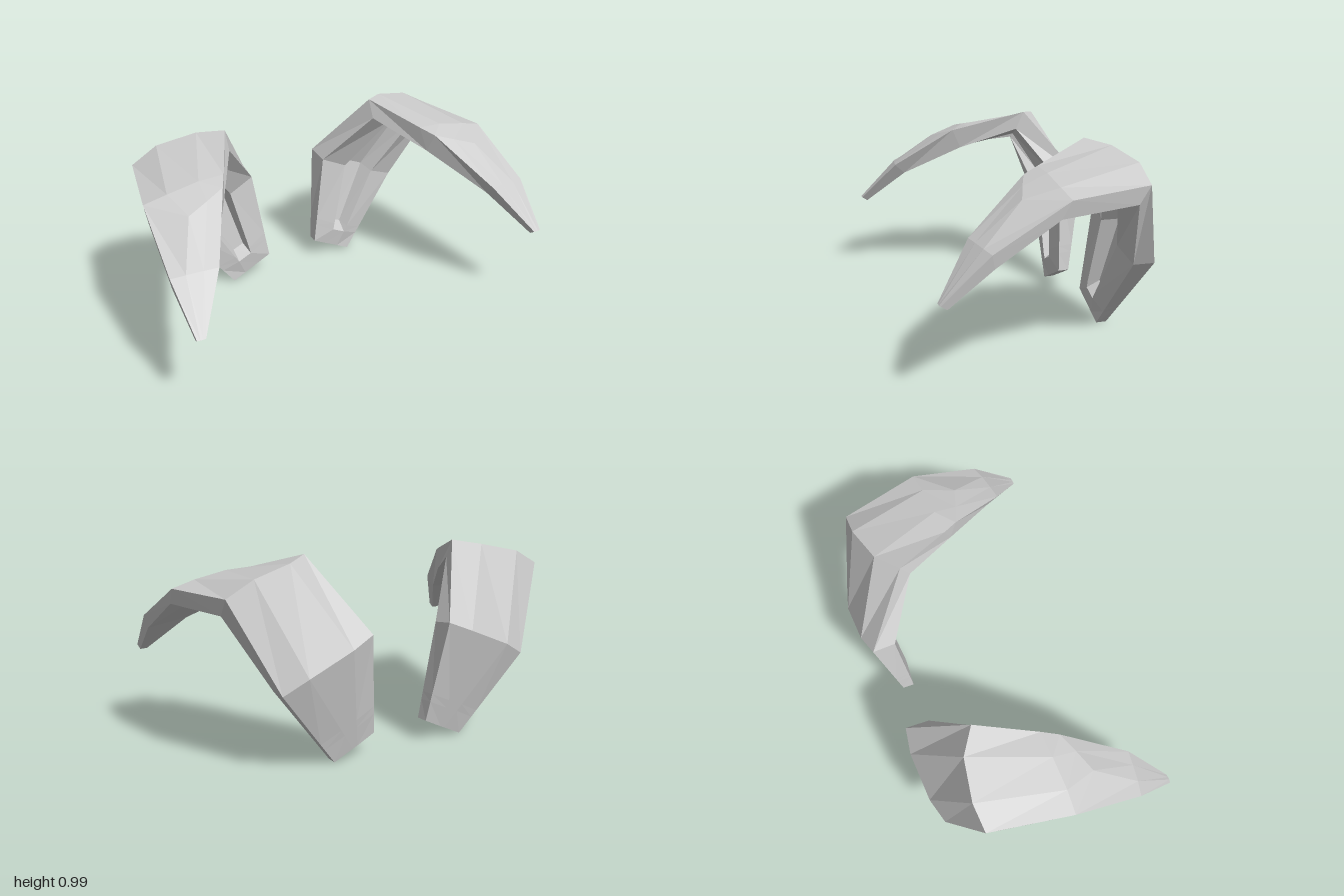
import * as THREE from 'three';

// Cross-sections from front tip, over the crest, down to the rear foot.
// skin: outer surface, inboard to outboard; rim: inboard and outboard lower edge.
// Optional channel on the underside: span = its two edges across the rim,
// slot = how deep it cuts towards the skin, lip = how far its edges stand proud.
const bottom = {
  skin: [[0.155, 0.11, -0.46], [0.25, 0.062, -0.46], [0.275, 0.05, -0.459], [0.375, 0, -0.455]],
  rim: [[0.15, 0.11, -0.4], [0.375, 0, -0.4]],
};
const back = {
  skin: [[0.22, 0.63, -0.55], [0.34, 0.58, -0.578], [0.57, 0.48, -0.578], [0.69, 0.41, -0.548]],
  rim: [[0.225, 0.61, -0.43], [0.685, 0.41, -0.44]],
  span: [0.31, 0.69], slot: 0.5, lip: 0.13,
};
const crest = {
  skin: [[0.43, 0.985, -0.28], [0.55, 0.965, -0.37], [0.75, 0.92, -0.415], [0.885, 0.845, -0.41]],
  rim: [[0.43, 0.89, -0.235], [0.885, 0.76, -0.355]],
  span: [0.3, 0.7], slot: 0.5, lip: 0.1,
};
const browRim = [[0.595, 0.77, 0.05], [0.97, 0.75, 0.045]];
const shoulder = {
  skin: [[0.57, 0.895, 0.01], [0.70, 0.89, 0.01], [0.86, 0.86, 0.01], [0.975, 0.83, 0]],
  rim: browRim, span: [0.31, 0.69], slot: 0.5, lip: 0.13,
};
const brow = {
  skin: [[0.612, 0.87, 0.09], [0.71, 0.842, 0.13], [0.82, 0.81, 0.17], [0.975, 0.83, 0]],
  rim: browRim,
};
const beak = {
  skin: [[0.78, 0.65, 0.4], [0.85, 0.648, 0.39], [0.93, 0.643, 0.377], [1, 0.635, 0.36]],
  rim: [[0.783, 0.6, 0.345], [0.988, 0.57, 0.345]],
};
const tip = {
  skin: [[0.935, 0.43, 0.578], [0.948, 0.43, 0.578], [0.962, 0.43, 0.578], [0.977, 0.43, 0.575]],
  rim: [[0.935, 0.41, 0.548], [0.972, 0.41, 0.545]],
};

const mix = (a, b, t) => a.map((v, i) => v + (b[i] - v) * t);
const blend = (a, b, t, channel) => ({
  skin: a.skin.map((p, i) => mix(p, b.skin[i], t)),
  rim: a.rim.map((p, i) => mix(p, b.rim[i], t)),
  ...channel,
});

// Closed ten-point loop: skin, outboard rim, channel, inboard rim
function loopOf({ skin, rim, span = [0.31, 0.69], slot = 0, lip = 0 }) {
  const [inboard, outboard] = span.map((t) => {
    const edge = mix(rim[0], rim[1], t);
    const roof = mix(skin[1], skin[2], t < 0.5 ? 0.25 : 0.75);
    return { lip: mix(edge, roof, -lip), floor: mix(edge, roof, slot || -lip) };
  });
  return [...skin, rim[1], outboard.lip, outboard.floor, inboard.floor, inboard.lip, rim[0]];
}

function buildShell(side) {
  // The channel's end wall slopes between these two sections
  const heel = blend(back, bottom, 0.72, { span: [0.385, 0.65], slot: 0.5, lip: 0.25 });
  const foot = blend(back, bottom, 0.8, { span: [0.4, 0.64], lip: 0.25 });
  const loops = [tip, beak, brow, shoulder, crest, back, heel, foot, bottom].map(loopOf);
  const n = loops[0].length;
  const positions = [];

  const triangle = (a, b, c) => {
    const pts = (side > 0 ? [a, b, c] : [a, c, b])
      .map((p) => new THREE.Vector3(p[0] * side, p[1], p[2]));
    if (new THREE.Triangle(...pts).getArea() < 1e-7) return; // collapsed channel
    pts.forEach((p) => positions.push(p.x, p.y, p.z));
  };

  // Skin between neighbouring loops
  for (let i = 0; i < loops.length - 1; i++) {
    for (let j = 0; j < n; j++) {
      const k = (j + 1) % n;
      const [a, b, c, d] = [loops[i][j], loops[i][k], loops[i + 1][k], loops[i + 1][j]];
      triangle(a, b, c);
      triangle(a, c, d);
    }
  }
  // End caps
  const first = loops[0];
  const last = loops[loops.length - 1];
  for (let j = 1; j < n - 1; j++) {
    triangle(first[0], first[j + 1], first[j]);
    triangle(last[0], last[j], last[j + 1]);
  }

  const geometry = new THREE.BufferGeometry();
  geometry.setAttribute('position', new THREE.Float32BufferAttribute(positions, 3));
  geometry.computeVertexNormals();
  return geometry;
}

export function createModel() {
  const group = new THREE.Group();
  group.name = 'shoulderGuards';
  const material = new THREE.MeshStandardMaterial({ color: 0xcccccc, flatShading: true });
  for (const [name, side] of [['leftGuard', 1], ['rightGuard', -1]]) {
    const mesh = new THREE.Mesh(buildShell(side), material);
    mesh.name = name;
    group.add(mesh);
  }
  return group;
}
